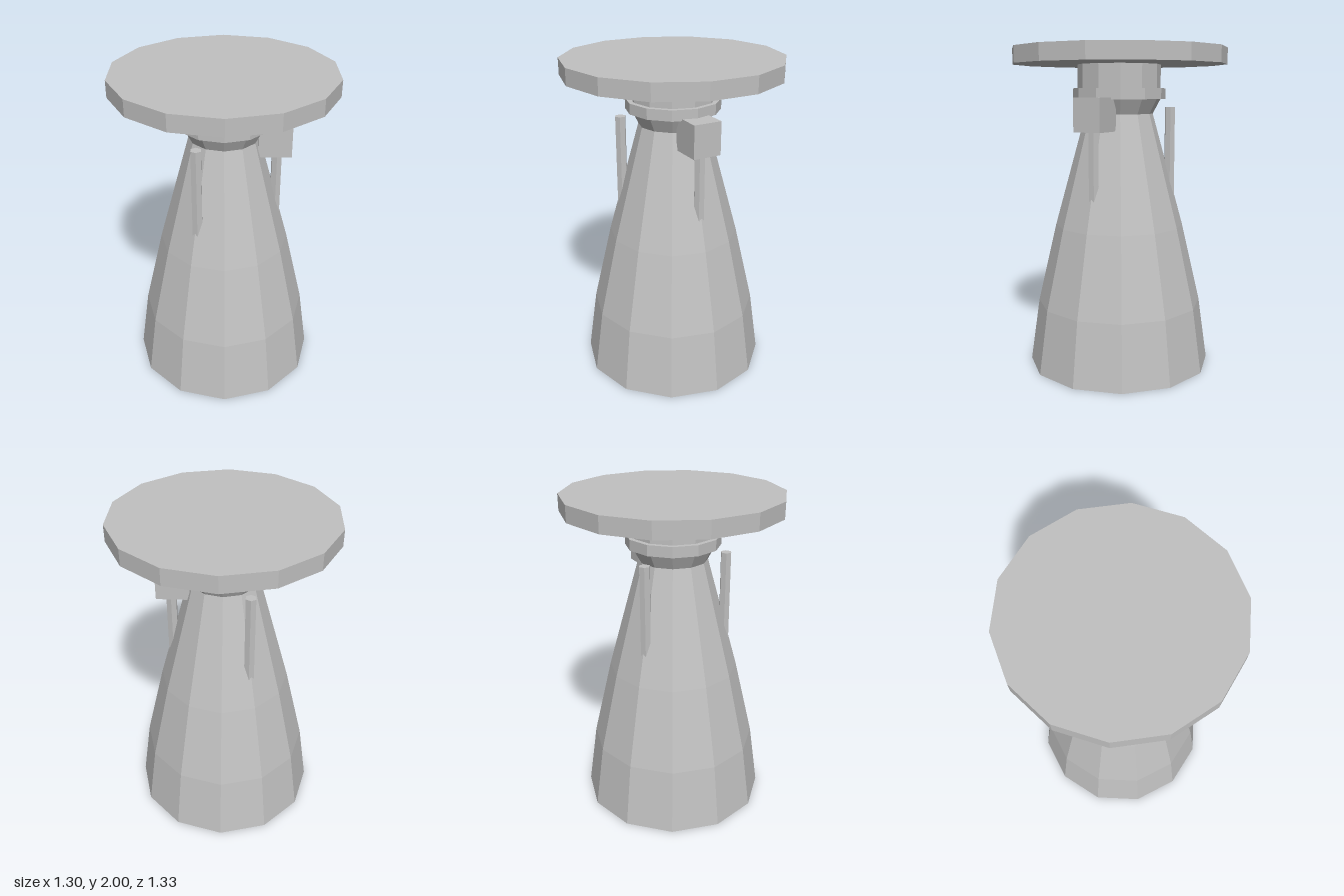
import * as THREE from 'three';

export function createModel() {
  const model = new THREE.Group();
  model.name = 'rocketEngine';
  const grey = new THREE.MeshStandardMaterial({ color: 0xc0c0c0, flatShading: true });
  grey.name = 'metal grey';
  const shell = new THREE.MeshStandardMaterial({ color: 0xc0c0c0, flatShading: true, side: THREE.DoubleSide });
  shell.name = 'metal grey shell';

  const add = (name, geometry, x, y, z, material = grey) => {
    const mesh = new THREE.Mesh(geometry, material);
    mesh.name = name;
    mesh.position.set(x, y, z);
    model.add(mesh);
  };
  // upright prism between two heights
  const prism = (name, rTop, rBottom, y0, y1, sides, x = 0, z = 0) =>
    add(name, new THREE.CylinderGeometry(rTop, rBottom, y1 - y0, sides), x, (y0 + y1) / 2, z);

  // open nozzle bell
  const profile = [[0.577, 0], [0.52, 0.4], [0.403, 0.9], [0.21, 1.6]]
    .map(([r, y]) => new THREE.Vector2(r, y));
  add('nozzleBell', new THREE.LatheGeometry(profile, 12), 0, 0, 0, shell);

  // throat, collar, neck and mounting plate
  prism('throat', 0.258, 0.21, 1.6, 1.69, 12);
  prism('collar', 0.288, 0.288, 1.69, 1.755, 12);
  prism('neck', 0.258, 0.258, 1.755, 1.9, 12);
  prism('mountingPlate', 0.665, 0.665, 1.9, 2, 14);

  // three feed pipes around the bell, the one on +x under the pump box
  for (let i = 0; i < 3; i++) {
    const a = (i * Math.PI * 2) / 3;
    prism('feedPipe', 0.034, 0.034, 1.06, 1.64, 6, 0.318 * Math.cos(a), 0.318 * Math.sin(a));
  }
  add('pumpBox', new THREE.BoxGeometry(0.2, 0.2, 0.176), 0.3, 1.6, 0);

  return model;
}
